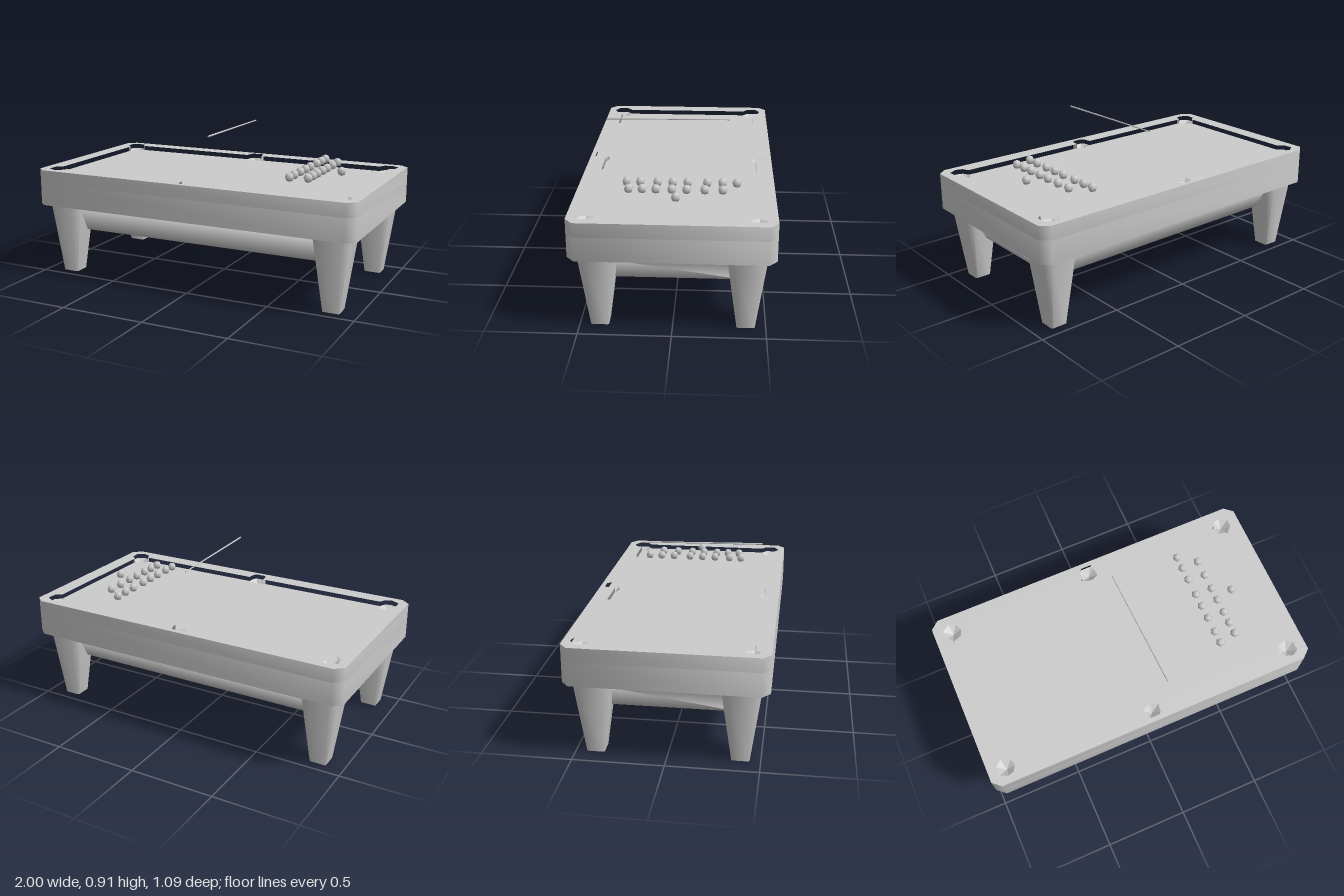
import * as THREE from 'three';
import { toCreasedNormals } from 'three/addons/utils/BufferGeometryUtils.js';

const material = new THREE.MeshStandardMaterial({ color: 0xcccccc });
const thin = new THREE.MeshStandardMaterial({ color: 0xcccccc, side: THREE.DoubleSide });

const BED = 0.617, RAIL_TOP = 0.645, APRON_BOTTOM = 0.43, SPLIT = 0.565;

// Repeat one quadrant of an [x, z] outline (from x = 0 to z = 0) into a closed loop
function fourWay(quadrant) {
  const flip = (sx, sz, reverse) => {
    const pts = quadrant.map(([x, z]) => new THREE.Vector2(x * sx, z * sz));
    return reverse ? pts.reverse() : pts;
  };
  return [...flip(1, 1), ...flip(1, -1, true), ...flip(-1, -1), ...flip(-1, 1, true)];
}

// Horizontal slab whose top is at the given height
function slab(shape, top, depth) {
  const geo = new THREE.ExtrudeGeometry(shape, { depth, bevelEnabled: false });
  geo.rotateX(Math.PI / 2).translate(0, top, 0);
  return toCreasedNormals(geo, 1.0);
}

// Chamfered rectangle cross-section, clockwise as seen from above
function section(w, d, c, y) {
  return [[w, d - c], [w, c - d], [w - c, -d], [c - w, -d],
    [-w, c - d], [-w, d - c], [c - w, d], [w - c, d]].map(([x, z]) => [x, y, z]);
}

// Closed solid between an upper and a lower cross-section
function loft(upper, lower) {
  const n = upper.length, index = [];
  for (let i = 0; i < n; i++) {
    const j = (i + 1) % n;
    index.push(i, n + j, n + i, i, j, n + j);
    if (i > 0 && i < n - 1) index.push(0, i + 1, i, n, n + i, n + i + 1);
  }
  // wind every face outward
  const pos = [...upper, ...lower];
  const mid = new THREE.Vector3();
  pos.forEach((p) => mid.add(new THREE.Vector3(...p).divideScalar(pos.length)));
  for (let k = 0; k < index.length; k += 3) {
    const [a, b, c] = [0, 1, 2].map((m) => new THREE.Vector3(...pos[index[k + m]]).sub(mid));
    const normal = b.clone().sub(a).cross(c.clone().sub(a));
    if (normal.dot(a) < 0) [index[k + 1], index[k + 2]] = [index[k + 2], index[k + 1]];
  }
  const geo = new THREE.BufferGeometry();
  geo.setAttribute('position', new THREE.Float32BufferAttribute(pos.flat(), 3));
  geo.setIndex(index);
  geo.computeVertexNormals();
  return geo;
}

// Faceted funnel from a rim outline down to its centre
function cup(rim, sx, sz) {
  const n = rim.length, y = BED - 0.04;
  const cx = rim.reduce((s, p) => s + p[0], 0) / n;
  const cz = rim.reduce((s, p) => s + p[1], 0) / n;
  const pos = [];
  rim.forEach(([x, z], i) => {
    const [x2, z2] = rim[(i + 1) % n];
    const a = [x * sx, BED, z * sz], b = [x2 * sx, BED, z2 * sz], c = [cx * sx, y, cz * sz];
    pos.push(...a, ...(sx * sz > 0 ? [...c, ...b] : [...b, ...c]));
  });
  const geo = new THREE.BufferGeometry();
  geo.setAttribute('position', new THREE.Float32BufferAttribute(pos, 3));
  geo.computeVertexNormals();
  return geo;
}

export function createModel() {
  const model = new THREE.Group();
  const add = (name, geo, mat = material, parent = model) => {
    const mesh = new THREE.Mesh(geo, mat);
    mesh.name = name;
    parent.add(mesh);
    return mesh;
  };

  // Apron and rails with pocket cut-outs
  const outer = fourWay([[0.95, 0.543], [1, 0.5]]);
  add('apron', slab(new THREE.Shape(outer), SPLIT, SPLIT - APRON_BOTTOM));
  const railShape = new THREE.Shape(outer);
  railShape.holes.push(new THREE.Path(fourWay([[0.03, 0.515], [0.045, 0.495], [0.05, 0.45],
    [0.84, 0.45], [0.86, 0.49], [0.9, 0.502], [0.948, 0.475], [0.945, 0.42], [0.908, 0.39]])));
  add('rails', slab(railShape, RAIL_TOP, RAIL_TOP - SPLIT));

  // Playing surface
  const bed = new THREE.ShapeGeometry(new THREE.Shape(fourWay([[0.012, 0.433], [0.05, 0.45],
    [0.84, 0.45], [0.855, 0.41], [0.908, 0.39]])));
  bed.rotateX(Math.PI / 2);
  bed.index.array.reverse();
  bed.translate(0, BED, 0).computeVertexNormals();
  add('playingSurface', bed, thin);

  // Pockets
  const pockets = new THREE.Group();
  pockets.name = 'pockets';
  model.add(pockets);
  const cornerRim = [[0.84, 0.45], [0.86, 0.49], [0.9, 0.502], [0.948, 0.475],
    [0.945, 0.42], [0.908, 0.39], [0.855, 0.41]];
  const sideRim = [[-0.05, 0.45], [-0.045, 0.495], [-0.03, 0.515], [0.03, 0.515],
    [0.045, 0.495], [0.05, 0.45], [0.012, 0.433], [-0.012, 0.433]];
  for (const sz of [1, -1]) {
    for (const sx of [1, -1]) add('cornerPocket', cup(cornerRim, sx, sz), thin, pockets);
    add('sidePocket', cup(sideRim, 1, sz), thin, pockets);
  }

  // Tapered underside
  add('underside', loft(
    [[0.93, 0.475], [0.93, -0.475], [-0.93, -0.475], [-0.93, 0.475]].map(([x, z]) => [x, APRON_BOTTOM, z]),
    [[0.83, 0.365], [0.83, -0.365], [-0.83, -0.365], [-0.83, 0.365]].map(([x, z]) => [x, 0.258, z])));

  // Tapered legs
  const legGeo = toCreasedNormals(
    loft(section(0.107, 0.107, 0.035, APRON_BOTTOM), section(0.049, 0.049, 0.006, 0)), 0.9);
  for (const sx of [1, -1]) {
    for (const sz of [1, -1]) add('leg', legGeo).position.set(sx * 0.848, 0, sz * 0.392);
  }

  // Racked balls
  const balls = new THREE.Group();
  balls.name = 'balls';
  model.add(balls);
  const ballGeo = new THREE.SphereGeometry(0.027, 6, 4);
  const rows = [
    [0.53, [-0.333, -0.255, -0.172, -0.065, 0.017, 0.1, 0.195, 0.27]],
    [0.633, [-0.257, -0.16, -0.063, 0.017, 0.103, 0.177, 0.25]],
    [0.74, [-0.01]],
  ];
  for (const [x, zs] of rows) {
    for (const z of zs) add('ball', ballGeo, material, balls).position.set(x, 0.688, z);
  }

  // Cue stick floating above the table
  const tip = new THREE.Vector3(0.08, 0.904, -0.287), butt = new THREE.Vector3(0.108, 0.909, 0.428);
  const axis = butt.clone().sub(tip);
  const cue = add('cue', new THREE.CylinderGeometry(0.0055, 0.004, axis.length(), 6));
  cue.position.copy(tip).add(butt).multiplyScalar(0.5);
  cue.quaternion.setFromUnitVectors(new THREE.Vector3(0, 1, 0), axis.normalize());

  return model;
}
